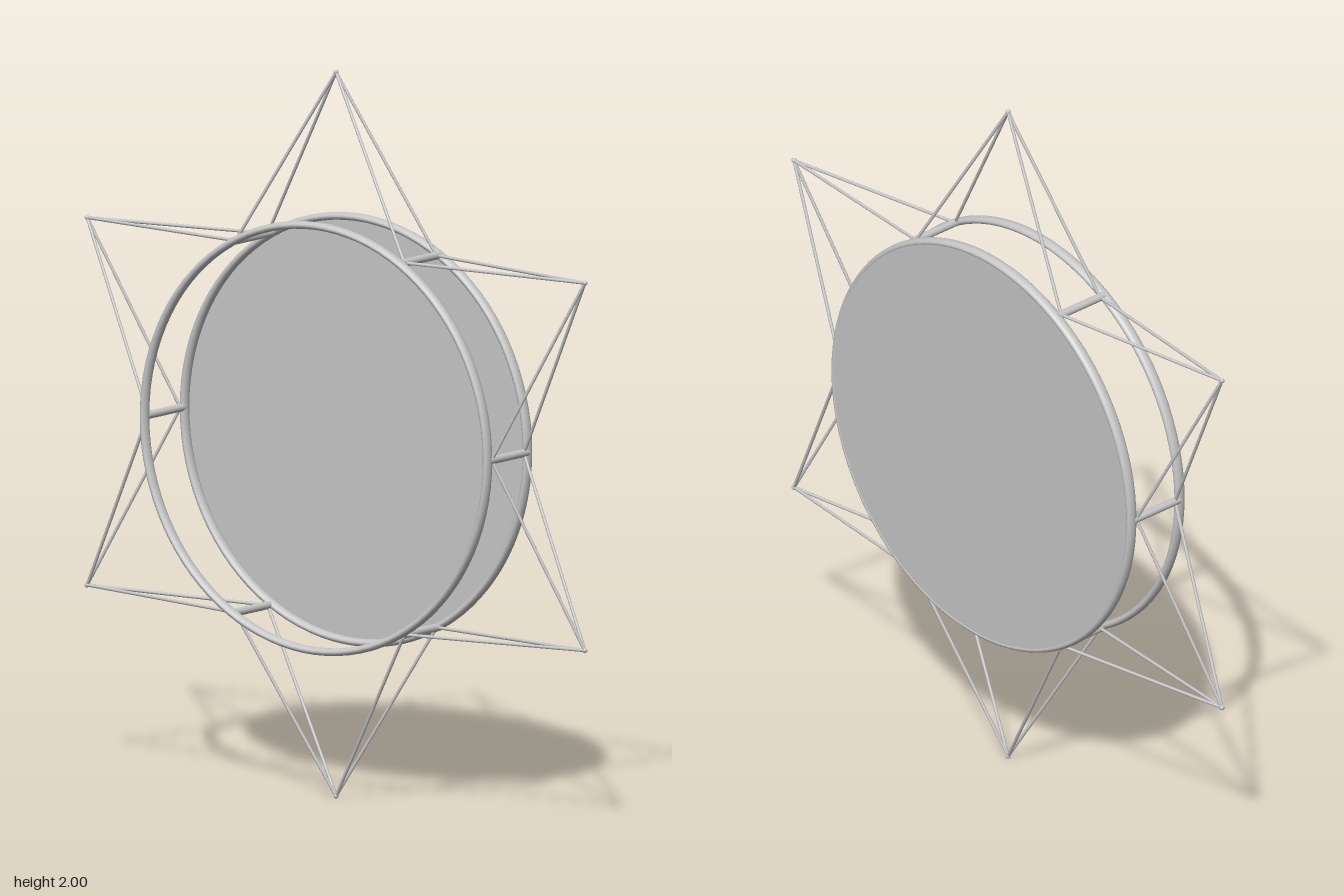
import * as THREE from 'three';

const CENTRE_Y = 1, RING_RADIUS = 0.583, RING_Z = 0.089, JOINT_Z = 0.072;

// Spacer positions and star points around the centre, counter-clockwise
const JOINTS = [[0.584, 0], [0.287, 0.51], [-0.287, 0.51], [-0.584, 0], [-0.287, -0.51], [0.287, -0.51]];
const TIPS = [[0.846, 0.504], [0, 0.993], [-0.846, 0.504], [-0.846, -0.504], [0, -0.993], [0.846, -0.504]];

export function createModel() {
  const model = new THREE.Group();
  model.name = 'starFrame';
  const metal = new THREE.MeshStandardMaterial({ color: 0xc6c6c6, side: THREE.DoubleSide });
  metal.name = 'light grey metal';

  const add = (name, geometry) => {
    const mesh = new THREE.Mesh(geometry, metal);
    mesh.name = name;
    model.add(mesh);
    return mesh;
  };

  // Round bar between two points
  const bar = (name, a, b, radius, sides) => {
    const dir = b.clone().sub(a);
    const mesh = add(name, new THREE.CylinderGeometry(radius, radius, dir.length(), sides));
    mesh.position.copy(a).add(b).multiplyScalar(0.5);
    mesh.quaternion.setFromUnitVectors(new THREE.Vector3(0, 1, 0), dir.normalize());
  };

  const point = ([x, y], z) => new THREE.Vector3(x, CENTRE_Y + y, z);

  // Front and back hoops, with an oval section deeper than it is thick
  const ring = new THREE.TorusGeometry(RING_RADIUS, 0.0105, 16, 96).scale(1, 1, 1.55);
  add('frontRing', ring).position.set(0, CENTRE_Y, RING_Z);
  add('backRing', ring).position.set(0, CENTRE_Y, -RING_Z);

  // Thin disc closing the back hoop
  add('backDisc', new THREE.CircleGeometry(RING_RADIUS, 96)).position.set(0, CENTRE_Y, -0.104);

  JOINTS.forEach((joint, i) => {
    // Spacer joining the two hoops
    bar('spacer', point(joint, -0.085), point(joint, 0.085), 0.011, 16);

    // Four rods meeting at each star point
    const tip = point(TIPS[i], 0);
    for (const base of [joint, JOINTS[(i + 1) % 6]]) {
      for (const z of [-JOINT_Z, JOINT_Z]) bar('pointRod', point(base, z), tip, 0.0045, 10);
    }
    add('pointTip', new THREE.SphereGeometry(0.007, 12, 8)).position.copy(tip);
  });
  return model;
}
